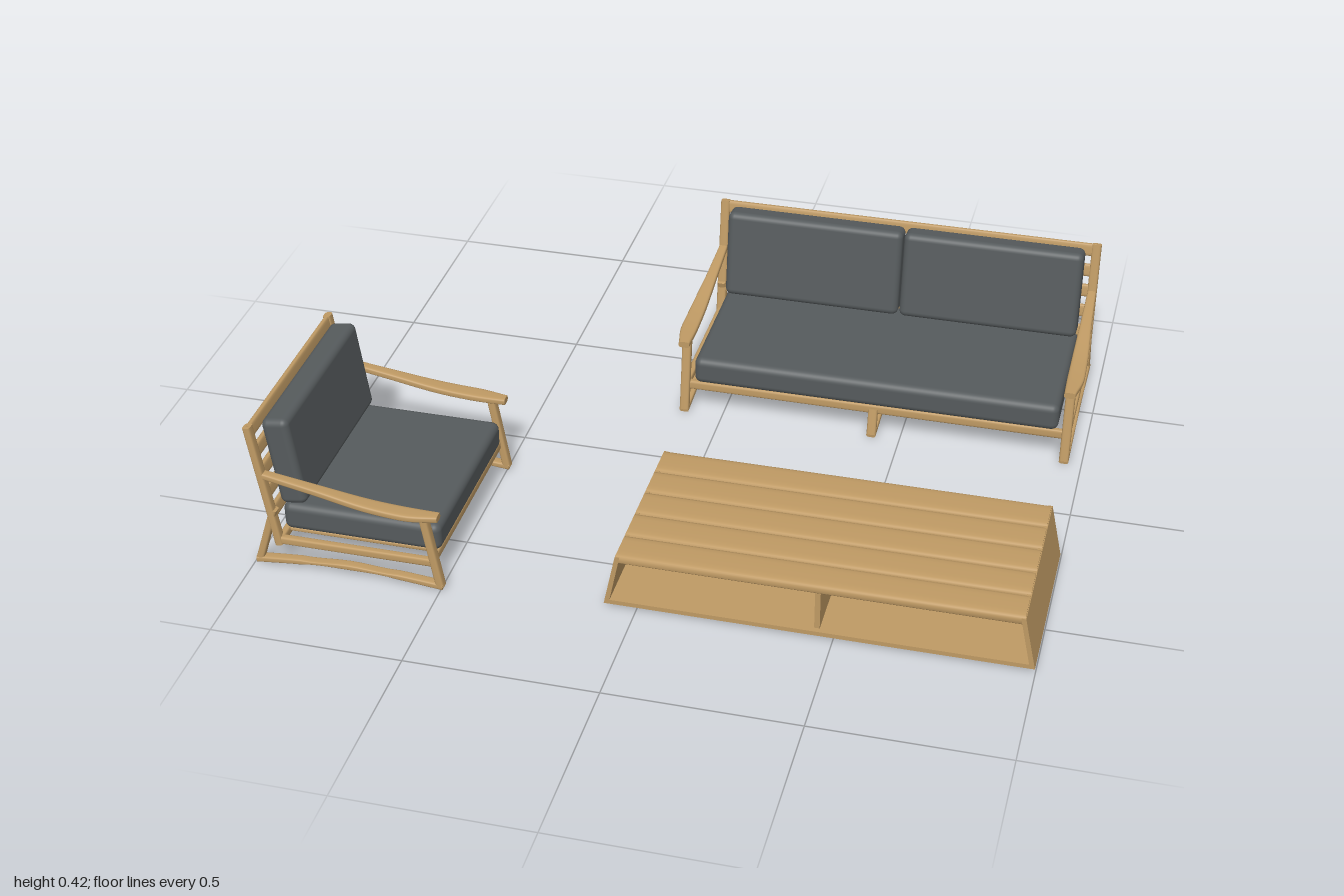
import * as THREE from 'three';
import { RoundedBoxGeometry } from 'three/addons/geometries/RoundedBoxGeometry.js';

const wood = new THREE.MeshStandardMaterial({ color: 0xbf9a64 });
wood.name = 'oak wood';
const fabric = new THREE.MeshStandardMaterial({ color: 0x565b5d });
fabric.name = 'grey fabric';

const X = new THREE.Vector3(1, 0, 0);
const Z = new THREE.Vector3(0, 0, 1);

function add(parent, name, geometry, material, x = 0, y = 0, z = 0) {
  const mesh = new THREE.Mesh(geometry, material);
  mesh.name = name;
  mesh.position.set(x, y, z);
  parent.add(mesh);
  return mesh;
}

// Rounded wooden bar swept through sections [x, y, z, width, height];
// width lies along `side`, height across it.
function bar(sections, side, sides = 16) {
  const pos = [], index = [];
  const pts = sections.map(s => new THREE.Vector3(s[0], s[1], s[2]));
  const n = pts.length;
  const soft = v => Math.sign(v) * Math.sqrt(Math.abs(v));
  const rings = pts.map((p, i) => {
    const t = pts[Math.min(i + 1, n - 1)].clone().sub(pts[Math.max(i - 1, 0)]).normalize();
    const up = t.clone().cross(side).normalize();
    const ring = [];
    for (let j = 0; j < sides; j++) {
      const a = (j + 0.5) / sides * Math.PI * 2;
      ring.push(p.clone()
        .addScaledVector(side, soft(Math.cos(a)) * sections[i][3] / 2)
        .addScaledVector(up, soft(Math.sin(a)) * sections[i][4] / 2));
    }
    return ring;
  });
  // side walls, then two caps with their own corners
  [...rings, rings[0], rings[n - 1]].forEach(r => r.forEach(v => pos.push(v.x, v.y, v.z)));
  for (let i = 0; i < n - 1; i++) {
    for (let j = 0; j < sides; j++) {
      const k = (j + 1) % sides, a = i * sides, b = a + sides;
      index.push(a + j, a + k, b + j, a + k, b + k, b + j);
    }
  }
  const c0 = n * sides, c1 = c0 + sides;
  for (let j = 1; j < sides - 1; j++) {
    index.push(c0, c0 + j + 1, c0 + j, c1, c1 + j, c1 + j + 1);
  }
  const g = new THREE.BufferGeometry();
  g.setAttribute('position', new THREE.Float32BufferAttribute(pos, 3));
  g.setIndex(index);
  g.computeVertexNormals();
  return g;
}

// Smooth path through a few [y, z, width, height] stations at a fixed x
function curvedBar(x, stations, steps = 20) {
  const path = new THREE.CatmullRomCurve3(stations.map(s => new THREE.Vector3(0, s[0], s[1])));
  const size = new THREE.CatmullRomCurve3(stations.map(s => new THREE.Vector3(s[2], s[3], s[4] || 0)));
  const sections = [];
  for (let i = 0; i <= steps; i++) {
    const p = path.getPoint(i / steps), s = size.getPoint(i / steps);
    sections.push([x + s.z, p.y, p.z, s.x, s.y]);
  }
  return bar(sections, X);
}

const straight = (x, y0, z0, y1, z1, w, h) => bar([[x, y0, z0, w, h], [x, y1, z1, w, h]], X);
const postZ = y => -0.185 - 0.16 * (y - 0.07);

// Sled base: arched runner on the floor
function runner(x, w) {
  return curvedBar(x, [[0.009, 0.25, w, 0.018], [0.02, 0.13, w, 0.016], [0.026, 0, w, 0.016],
    [0.02, -0.13, w, 0.016], [0.009, -0.25, w, 0.018]]);
}

// Lounge seat facing +z; half = half the width of the cushions
function createSeat(name, half, backCushions, slats, middleSled) {
  const seat = new THREE.Group();
  seat.name = name;
  const fx = half + 0.025;

  for (const s of [-1, 1]) {
    const frame = new THREE.Group();
    frame.name = s > 0 ? 'leftSideFrame' : 'rightSideFrame';
    seat.add(frame);
    const x = s * fx;
    add(frame, 'floorRunner', runner(x, 0.026), wood);
    add(frame, 'frontLeg', straight(x, 0.008, 0.243, 0.216, 0.208, 0.026, 0.022), wood);
    add(frame, 'backLeg', straight(x, 0.008, -0.243, 0.17, -0.192, 0.024, 0.02), wood);
    add(frame, 'backPost', straight(x, 0.065, postZ(0.065), 0.412, postZ(0.412), 0.026, 0.021), wood);
    add(frame, 'sideRail', straight(x, 0.078, 0.23, 0.078, -0.19, 0.02, 0.022), wood);
    // armrest, wide near the front and slimmer towards the post
    add(frame, 'armrest', curvedBar(x, [
      [0.218, 0.248, 0.03, 0.018, 0],
      [0.219, 0.16, 0.046, 0.019, s * 0.006],
      [0.227, 0.06, 0.043, 0.019, s * 0.005],
      [0.248, -0.07, 0.032, 0.019, s * 0.002],
      [0.272, -0.215, 0.024, 0.018, 0]]), wood);
  }

  // cross rails and seat slats
  const across = (y, z, w, h) => bar([[-fx, y, z, w, h], [fx, y, z, w, h]], Z);
  add(seat, 'frontRail', across(0.078, 0.222, 0.018, 0.026), wood);
  add(seat, 'backRail', across(0.078, -0.18, 0.018, 0.026), wood);
  for (let i = 0; i < slats; i++) {
    const x = ((i + 0.5) / slats * 2 - 1) * half;
    add(seat, 'seatSlat', straight(x, 0.082, 0.22, 0.082, -0.18, 0.042, 0.014), wood);
  }

  // horizontal slats across the leaning back
  const lean = new THREE.Vector3(0, 1, -0.16).normalize();
  for (let i = 0; i < 5; i++) {
    const y = 0.155 + i * 0.06, z = postZ(y);
    add(seat, 'backSlat', bar([[-fx, y, z, 0.036, 0.014], [fx, y, z, 0.036, 0.014]], lean), wood);
  }

  // support sled under the middle
  if (middleSled) {
    add(seat, 'middleRunner', runner(0, 0.026), wood);
    add(seat, 'middleFrontLeg', straight(0, 0.008, 0.243, 0.08, 0.228, 0.026, 0.02), wood);
    add(seat, 'middleBackLeg', straight(0, 0.008, -0.243, 0.09, -0.185, 0.026, 0.02), wood);
    add(seat, 'middleRail', straight(0, 0.072, 0.225, 0.072, -0.185, 0.026, 0.02), wood);
  }

  // cushions
  add(seat, 'seatCushion', new RoundedBoxGeometry(half * 2, 0.078, 0.42, 4, 0.02), fabric, 0, 0.129, 0.028);
  const w = half * 2 / backCushions;
  for (let i = 0; i < backCushions; i++) {
    const cushion = add(seat, 'backCushion', new RoundedBoxGeometry(w - 0.004, 0.25, 0.072, 4, 0.018), fabric,
      -half + w * (i + 0.5), 0.293, -0.167);
    cushion.rotation.x = -0.14;
  }
  return seat;
}

// Low table: flared open box with a slatted top
function createTable() {
  const table = new THREE.Group();
  table.name = 'coffeeTable';
  const depth = 0.48;

  // floor and leaning end panels in one U-shaped section
  const outline = new THREE.Shape([
    [-0.541, 0.008], [0.541, 0.008], [0.51, 0.155], [0.498, 0.155],
    [0.526, 0.02], [-0.526, 0.02], [-0.498, 0.155], [-0.51, 0.155],
  ].map(p => new THREE.Vector2(...p)));
  add(table, 'tableBox', new THREE.ExtrudeGeometry(outline, { depth, bevelEnabled: false }), wood, 0, 0, -depth / 2);
  add(table, 'divider', new THREE.BoxGeometry(0.014, 0.115, 0.45), wood, 0, 0.077, 0);

  for (let i = 0; i < 5; i++) {
    const z = (i - 2) * 0.0965;
    add(table, 'topSlat', bar([[-0.508, 0.146, z, 0.094, 0.028], [0.508, 0.146, z, 0.094, 0.028]], Z), wood);
  }
  for (const x of [-0.51, 0, 0.51]) {
    for (const z of [-0.22, 0.22]) {
      add(table, 'foot', new THREE.CylinderGeometry(0.008, 0.008, 0.01, 12), wood, x, 0.005, z);
    }
  }
  return table;
}

export function createModel() {
  const model = new THREE.Group();
  model.name = 'loungeSet';

  const sofa = createSeat('sofa', 0.505, 2, 14, true);
  sofa.position.set(0.422, 0, -0.482);

  const chair = createSeat('armchair', 0.25, 1, 7, false);
  chair.position.set(-0.745, 0, 0.425);
  chair.rotation.y = Math.PI / 2;

  const table = createTable();
  table.position.set(0.457, 0, 0.43);

  model.add(sofa, chair, table);
  return model;
}
